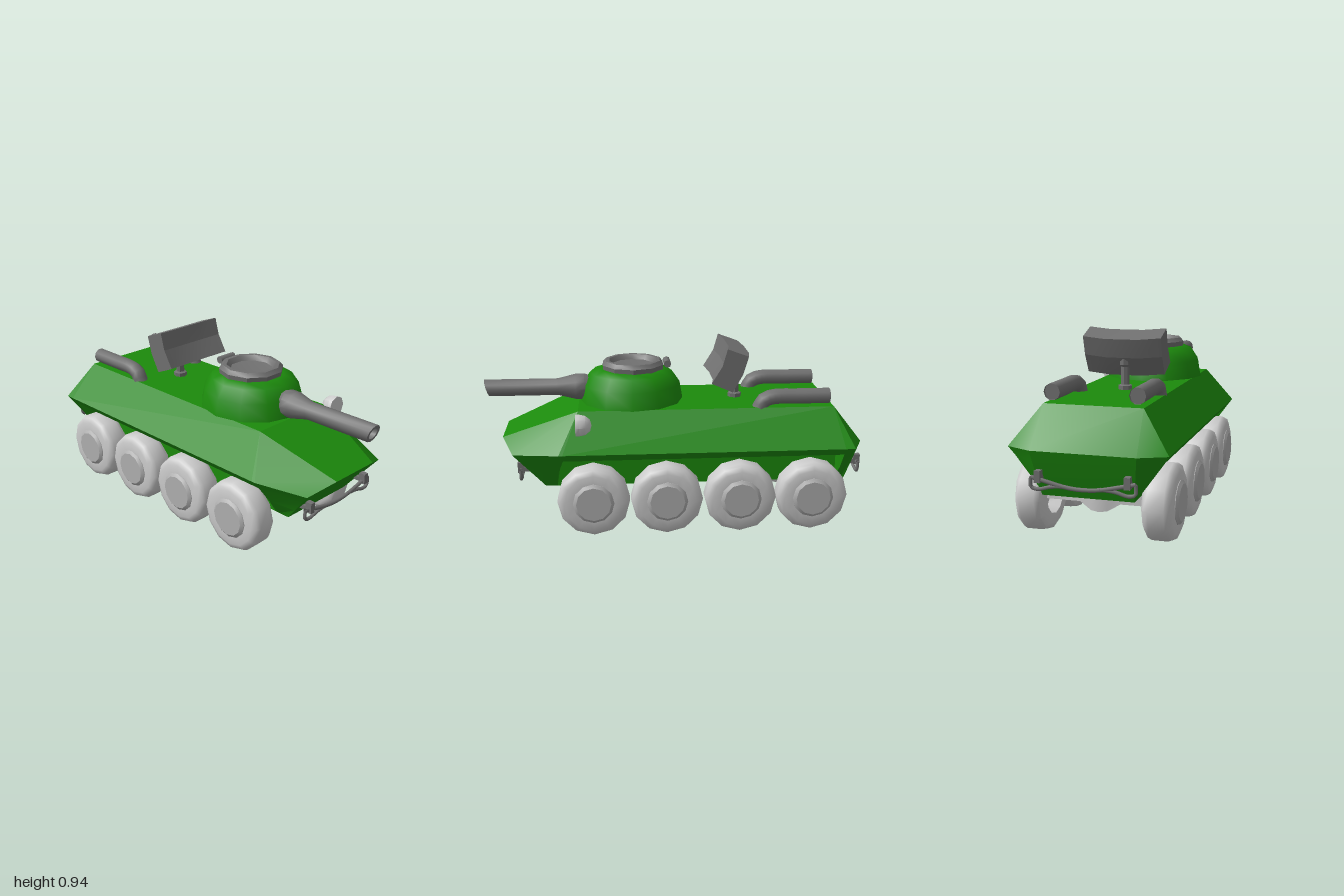
import * as THREE from 'three';
import { toCreasedNormals } from 'three/addons/utils/BufferGeometryUtils.js';

const paint = (color) => new THREE.MeshStandardMaterial({ color, side: THREE.DoubleSide });
const V = (x, y, z) => new THREE.Vector3(x, y, z);

// Skin a list of equal-sized rings; end caps are strips between mirrored points.
function loft(rings, crease) {
  const pos = [];
  const tri = (a, b, c) => {
    const area = b.clone().sub(a).cross(c.clone().sub(a)).length();
    if (area > 1e-7) for (const p of [a, b, c]) pos.push(p.x, p.y, p.z);
  };
  const n = rings[0].length;
  for (let i = 0; i < rings.length - 1; i++) {
    for (let j = 0; j < n; j++) {
      const k = (j + 1) % n, r = rings[i], s = rings[i + 1];
      tri(r[j], r[k], s[j]);
      tri(r[k], s[k], s[j]);
    }
  }
  const first = rings[0], last = rings[rings.length - 1];
  for (let j = 0; j < n / 2 - 1; j++) {
    const m = n - 1 - j;
    tri(last[j], last[j + 1], last[m - 1]);
    tri(last[j], last[m - 1], last[m]);
    tri(first[j], first[m - 1], first[j + 1]);
    tri(first[j], first[m], first[m - 1]);
  }
  const g = new THREE.BufferGeometry();
  g.setAttribute('position', new THREE.Float32BufferAttribute(pos, 3));
  return toCreasedNormals(g, crease);
}

// Turned part from [radius, height] pairs.
function turned(profile, sides, crease = 0.6) {
  const g = new THREE.LatheGeometry(profile.map(([r, h]) => new THREE.Vector2(r, h)), sides);
  return toCreasedNormals(g, crease);
}

export function createModel() {
  const model = new THREE.Group();
  const green = paint(0x1c8a0c), dark = paint(0x707070), light = paint(0xcccccc), hubGrey = paint(0xb0b0b0);
  const add = (name, geometry, material, x = 0, y = 0, z = 0, parent = model) => {
    const mesh = new THREE.Mesh(geometry, material);
    mesh.name = name;
    mesh.position.set(x, y, z);
    parent.add(mesh);
    return mesh;
  };

  // Hull: half-sections of deck edge, widest edge, lip, inner corner and floor, from rear to nose
  const rearDeck = [-0.83, 0.64, 0.24], frontDeck = [0.5, 0.64, 0.24];
  const halves = [
    [rearDeck, [-0.98, 0.45, 0.25], [-0.965, 0.4, 0.243], [-0.94, 0.32, 0.232], [-0.91, 0.23, 0.22]],
    [rearDeck, [-0.92, 0.45, 0.38], [-0.91, 0.41, 0.35], [-0.9, 0.32, 0.285], [-0.89, 0.23, 0.22]],
    [rearDeck, [-0.87, 0.45, 0.38], [-0.87, 0.41, 0.35], [-0.87, 0.32, 0.285], [-0.87, 0.23, 0.22]],
    [rearDeck, [-0.87, 0.45, 0.38], [-0.87, 0.41, 0.35], [-0.86, 0.41, 0.22], [-0.86, 0.23, 0.22]],
    [frontDeck, [0.58, 0.45, 0.38], [0.58, 0.41, 0.35], [0.59, 0.41, 0.22], [0.6, 0.23, 0.22]],
    [frontDeck, [0.6, 0.45, 0.38], [0.6, 0.41, 0.35], [0.61, 0.32, 0.285], [0.62, 0.23, 0.22]],
    [[0.9, 0.48, 0.14], [0.84, 0.425, 0.28], [0.795, 0.37, 0.263], [0.737, 0.3, 0.242], [0.68, 0.23, 0.22]],
  ];
  const hullRings = halves.map((h) => [
    ...h.map(([x, y, z]) => V(x, y, z)),
    ...h.slice().reverse().map(([x, y, z]) => V(x, y, -z)),
  ]);
  add('hull', loft(hullRings, 0.35), green);

  // Turret dome and open hatch ring
  const dome = turned([[0.265, 0], [0.25, 0.09], [0.21, 0.15], [0.16, 0.17], [0, 0.17]], 12, 0.7);
  dome.scale(1.04, 1, 1);
  add('turret', dome, green, 0.22, 0.64);
  add('hatch', turned([[0.165, 0], [0.168, 0.025], [0.15, 0.045], [0.13, 0.045], [0.11, 0.02], [0, 0.005]], 10),
    dark, 0.21, 0.808);
  add('hatchHinge', new THREE.CylinderGeometry(0.02, 0.02, 0.1, 8).rotateX(Math.PI / 2), dark, 0.028, 0.835);

  // Gun with thick root, slanted hollow muzzle
  const gun = turned([[0, 0.42], [0.06, 0.44], [0.07, 0.47], [0.07, 0.515], [0.046, 0.61], [0.046, 0.985],
    [0.03, 0.985], [0.027, 0.85], [0, 0.85]], 12).rotateZ(-Math.PI / 2);
  const gp = gun.attributes.position;
  for (let i = 0; i < gp.count; i++) if (gp.getX(i) > 0.9) gp.setX(i, gp.getX(i) + gp.getY(i) * 0.3);
  add('gun', gun, dark, 0, 0.71);

  // Wheels on four axles
  const tyre = turned([[0, -0.01], [0.09, -0.01], [0.105, -0.07], [0.155, -0.07], [0.178, -0.058], [0.187, -0.035],
    [0.187, 0.04], [0.176, 0.06], [0.15, 0.072], [0.1, 0.072], [0, 0.072]], 12, 0.8).rotateX(Math.PI / 2);
  const hub = turned([[0.108, 0.06], [0.106, 0.075], [0.09, 0.087], [0, 0.087]], 12).rotateX(Math.PI / 2);
  const axleRing = (z, y0, y1, w) => [V(-w, y1, z), V(-w, y0, z), V(w, y0, z), V(w, y1, z)];
  const axle = loft([[-0.31, 0.16, 0.22, 0.03], [-0.1, 0.16, 0.22, 0.03], [-0.04, 0.127, 0.24, 0.05],
    [0, 0.122, 0.24, 0.055], [0.04, 0.127, 0.24, 0.05], [0.1, 0.16, 0.22, 0.03], [0.31, 0.16, 0.22, 0.03]]
    .map((a) => axleRing(...a)), 0.4);
  for (const x of [-0.71, -0.333, 0.05, 0.43]) {
    add('axle', axle, light, x);
    for (const side of [1, -1]) {
      const wheel = new THREE.Group();
      wheel.name = 'wheel';
      wheel.position.set(x, 0.187, side * 0.307);
      if (side < 0) wheel.rotation.y = Math.PI;
      add('tyre', tyre, light, 0, 0, 0, wheel);
      add('hub', hub, hubGrey, 0, 0, 0, wheel);
      model.add(wheel);
    }
  }

  // Curved shield panel on a post
  const panelSide = [[-0.38, 0.905], [-0.352, 0.81], [-0.3, 0.717], [-0.19, 0.765], [-0.245, 0.855], [-0.27, 0.945]];
  const panelRings = [[-0.21, 0], [-0.09, 1], [0.08, 1], [0.195, 0]].map(([z, bow]) =>
    panelSide.map(([x, y]) => V(x - 0.02 * bow, y - 0.009 * bow, z)));
  add('panel', loft(panelRings, 0.2), dark);
  add('panelPost', turned([[0.036, 0], [0.036, 0.025], [0.022, 0.03], [0.022, 0.12], [0.03, 0.13], [0.03, 0.16], [0, 0.16]], 8),
    dark, -0.34, 0.635);

  // Exhaust pipes bending down into the deck
  const pipePath = new THREE.CatmullRomCurve3([V(-0.81, 0.69, 0), V(-0.65, 0.69, 0), V(-0.51, 0.688, 0),
    V(-0.465, 0.67, 0), V(-0.44, 0.62, 0)]);
  const pipe = new THREE.TubeGeometry(pipePath, 14, 0.04, 10);
  for (const z of [0.205, -0.205]) {
    add('exhaustPipe', pipe, dark, 0, 0, z);
    add('exhaustEnd', new THREE.CircleGeometry(0.04, 10).rotateY(-Math.PI / 2), dark, -0.795, 0.69, z);
  }

  // Searchlight with flat lens
  add('searchlight', turned([[0, -0.045], [0.03, -0.038], [0.05, -0.015], [0.057, 0.015], [0.057, 0.035], [0, 0.035]], 8, 0.8)
    .rotateZ(-Math.PI / 2), light, 0.475, 0.598, -0.343);

  // Bowed tow bars with brackets, one at each end
  const rod = (points, r) => new THREE.TubeGeometry(new THREE.CatmullRomCurve3(points), 16, r, 6);
  const bar = rod([V(0, 0.33, -0.245), V(0, 0.315, -0.18), V(0, 0.293, -0.08), V(0, 0.287, 0),
    V(0, 0.293, 0.08), V(0, 0.315, 0.18), V(0, 0.33, 0.245)], 0.01);
  for (const [x, turn] of [[0.805, 0], [-0.975, Math.PI]]) {
    const tow = new THREE.Group();
    tow.name = turn ? 'rearTowBar' : 'frontTowBar';
    tow.position.x = x;
    tow.rotation.y = turn;
    add('bar', bar, dark, 0, 0, 0, tow);
    for (const s of [1, -1]) {
      add('loop', rod([V(0, 0.33, 0.245 * s), V(0, 0.285, 0.245 * s), V(0, 0.275, 0.215 * s),
        V(0, 0.29, 0.15 * s), V(0, 0.296, 0.08 * s)], 0.009), dark, 0, 0, 0, tow);
      add('bracket', new THREE.BoxGeometry(0.035, 0.055, 0.028), dark, 0, 0.335, 0.21 * s, tow);
      add('bracketArm', new THREE.BoxGeometry(0.07, 0.022, 0.022), dark, -0.03, 0.325, 0.21 * s, tow);
    }
    model.add(tow);
  }
  return model;
}
